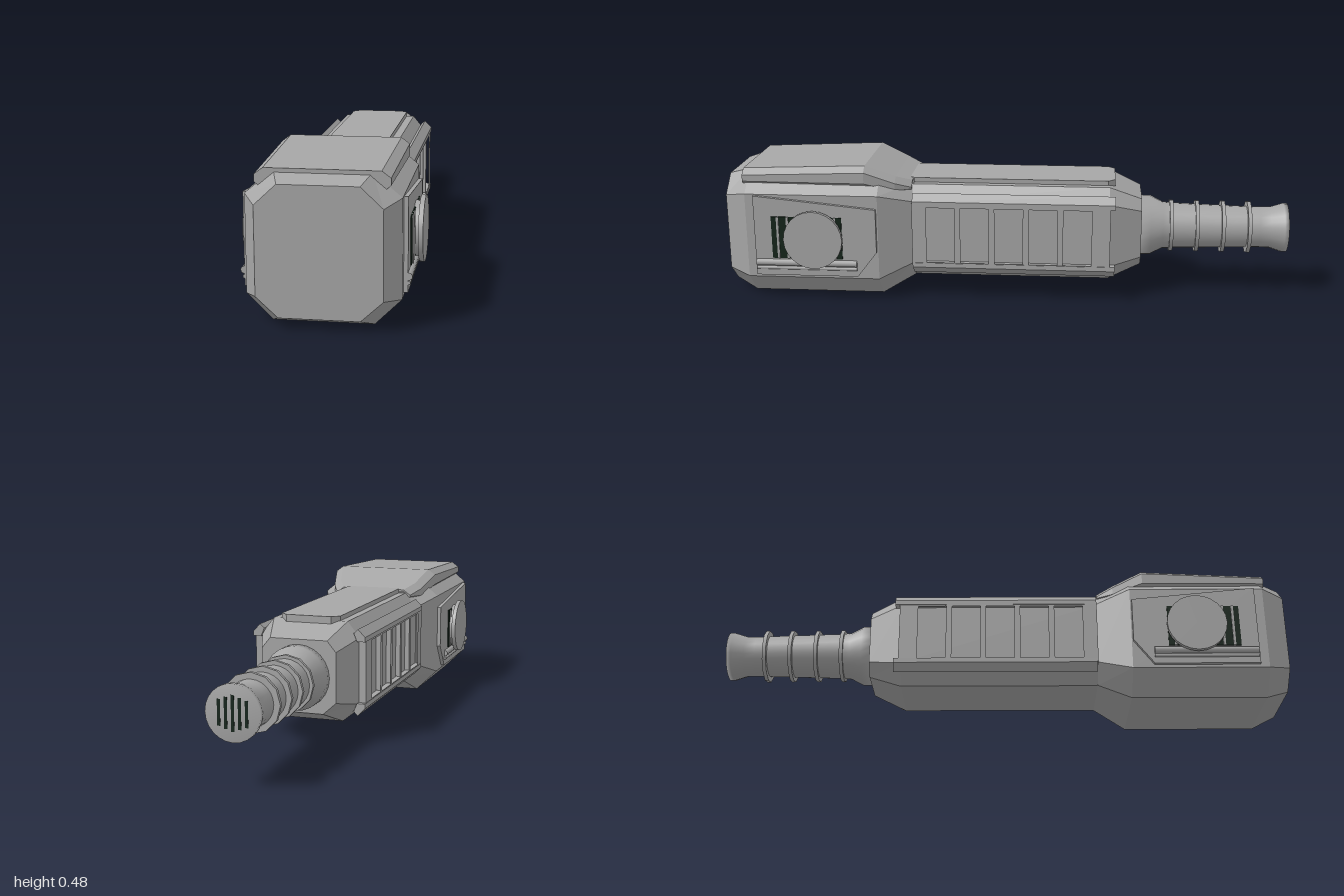
import * as THREE from 'three';

const grey = new THREE.MeshStandardMaterial({ color: 0xa6a6a6 });
grey.name = 'casing grey';
const dark = new THREE.MeshStandardMaterial({ color: 0x14241a });
dark.name = 'dark green';

function add(parent, name, geometry, material = grey, x = 0, y = 0, z = 0) {
  const m = new THREE.Mesh(geometry, material);
  m.name = name;
  m.position.set(x, y, z);
  parent.add(m);
  return m;
}

// Skin a run of counter-clockwise rings, ordered front to back, with flat faces and caps
function loft(rings) {
  const p = [];
  const tri = (a, b, c) => p.push(...a, ...b, ...c);
  const n = rings[0].length;
  for (let k = 0; k < rings.length - 1; k++) {
    const a = rings[k], b = rings[k + 1];
    for (let i = 0; i < n; i++) {
      const j = (i + 1) % n;
      tri(a[i], b[i], b[j]);
      tri(a[i], b[j], a[j]);
    }
  }
  const f = rings[0], l = rings[rings.length - 1];
  for (let i = 1; i < n - 1; i++) {
    tri(f[0], f[i], f[i + 1]);
    tri(l[0], l[i + 1], l[i]);
  }
  const g = new THREE.BufferGeometry();
  g.setAttribute('position', new THREE.Float32BufferAttribute(p, 3));
  g.computeVertexNormals();
  return g;
}

// Symmetric ring from its right half, listed bottom to top
const ring = (z, half) => [
  ...half.map(([x, y]) => [x, y, z]),
  ...half.slice().reverse().map(([x, y]) => [-x, y, z]),
];

// Octagon: side half-width, flat half-widths, and heights from bottom to top
const oct = (z, w, bottomFlat, topFlat, y0, y1, y2, y3) =>
  ring(z, [[bottomFlat, y0], [w, y1], [w, y2], [topFlat, y3]]);

const shapeOf = (pts) => new THREE.Shape(pts.map(([x, y]) => new THREE.Vector2(x, y)));

// Upright plate from a (z, y) outline, centred on x
function sidePlate(outline, depth, holes = []) {
  const s = shapeOf(outline.map(([z, y]) => [-z, y]));
  for (const h of holes) s.holes.push(shapeOf(h.map(([z, y]) => [-z, y])));
  return new THREE.ExtrudeGeometry(s, { depth, bevelEnabled: false })
    .translate(0, 0, -depth / 2).rotateY(Math.PI / 2);
}

const rect = (z0, z1, y0, y1) => [[z0, y0], [z1, y0], [z1, y1], [z0, y1]];

export function createModel() {
  const root = new THREE.Group();
  root.name = 'handheldDevice';

  // Head, with bevelled front and tapering shoulders
  add(root, 'head', loft([
    oct(1, 0.187, 0.12, 0.12, 0.033, 0.095, 0.367, 0.43),
    oct(0.92, 0.232, 0.152, 0.145, 0, 0.079, 0.383, 0.455),
    oct(0.45, 0.232, 0.152, 0.145, 0, 0.079, 0.383, 0.455),
    oct(0.335, 0.178, 0.118, 0.125, 0.062, 0.125, 0.352, 0.408),
  ]));

  // Raised cover over the head
  const cover = (z, w, top, drop) => ring(z, [
    [w - 0.017, top - drop], [w, top - drop + 0.014], [w, top - 0.02], [w - 0.027, top],
  ]);
  add(root, 'topCover', loft([
    cover(0.935, 0.2, 0.463, 0.056),
    cover(0.5, 0.207, 0.48, 0.073),
    cover(0.395, 0.18, 0.437, 0.06),
    cover(0.34, 0.15, 0.417, 0.04),
  ]));

  // Handle, narrowing to the cable end
  add(root, 'handle', loft([
    oct(0.34, 0.175, 0.115, 0.132, 0.062, 0.125, 0.352, 0.405),
    oct(-0.36, 0.175, 0.115, 0.132, 0.062, 0.125, 0.352, 0.405),
    oct(-0.475, 0.13, 0.085, 0.1, 0.11, 0.15, 0.32, 0.357),
  ]));
  const plate = shapeOf([
    [-0.08, -0.36], [0.08, -0.36], [0.105, -0.335], [0.105, 0.355],
    [0.08, 0.38], [-0.08, 0.38], [-0.105, 0.355], [-0.105, -0.335],
  ]);
  add(root, 'handleTopPlate', new THREE.ExtrudeGeometry(plate, { depth: 0.03, bevelEnabled: false })
    .rotateX(-Math.PI / 2), grey, 0, 0.391, 0);

  for (const s of [1, -1]) {
    const side = new THREE.Group();
    side.name = s > 0 ? 'leftSide' : 'rightSide';
    root.add(side);

    // Grip frame with five openings
    const holes = [];
    for (let i = 0; i < 5; i++) {
      const z = 0.284 - i * 0.121;
      holes.push(rect(z - 0.1, z, 0.134, 0.336));
    }
    add(side, 'gripFrame', sidePlate(rect(-0.365, 0.335, 0.122, 0.35), 0.026, holes), grey, s * 0.185);

    // Slanted rails along the top and bottom of the grip
    for (const [name, flip] of [['gripTopRail', 1], ['gripBottomRail', -1]]) {
      const profile = [[0.172, 0.105], [0.2, 0.105], [0.2, 0.121], [0.175, 0.147], [0.16, 0.133]]
        .map(([x, y]) => [s * x, 0.237 + flip * y]);
      add(side, name, new THREE.ExtrudeGeometry(shapeOf(profile), { depth: 0.715, bevelEnabled: false }),
        grey, 0, 0, -0.382);
    }

    // Head side panel
    add(side, 'sidePanel', sidePlate([
      [0.888, 0.09], [0.888, 0.38], [0.455, 0.337], [0.455, 0.18], [0.524, 0.09],
    ], 0.035), grey, s * 0.2275);
    for (const [y, r] of [[0.138, 0.012], [0.118, 0.006]]) {
      add(side, 'panelRod', new THREE.CylinderGeometry(r, r, 0.36, 10).rotateX(Math.PI / 2),
        grey, s * 0.246, y, 0.705);
    }

    // Vent slot and its slats
    add(side, 'ventSlot', new THREE.BoxGeometry(0.008, 0.152, 0.25), dark, s * 0.245, 0.231, 0.701);
    for (const z of [0.803, 0.768, 0.6]) {
      add(side, 'ventSlat', new THREE.BoxGeometry(0.01, 0.152, 0.008), grey, s * 0.248, 0.231, z);
    }

    // Round knob
    const disc = (r, d) => new THREE.CylinderGeometry(r, r, d, 24).rotateZ(Math.PI / 2);
    add(side, 'knobBase', disc(0.086, 0.018), grey, s * 0.254, 0.231, 0.674);
    add(side, 'knob', disc(0.104, 0.015), grey, s * 0.2695, 0.231, 0.674);
  }

  // Cable sleeve, flared at its end
  const sleeve = [
    [0, 0.46], [0.108, 0.46], [0.108, 0.51], [0.085, 0.555], [0.082, 0.6],
    [0.073, 0.9], [0.074, 0.94], [0.088, 0.985], [0.088, 1], [0, 1],
  ].map(([r, d]) => new THREE.Vector2(r, d));
  const sleeveGeo = new THREE.LatheGeometry(sleeve, 24).rotateX(-Math.PI / 2);
  add(root, 'cableSleeve', sleeveGeo, grey, 0, 0.232, 0);
  for (const z of [-0.585, -0.677, -0.77, -0.862]) {
    add(root, 'sleeveRing', new THREE.CylinderGeometry(0.095, 0.095, 0.013, 12).rotateX(Math.PI / 2),
      grey, 0, 0.232, z);
  }
  // Dark slits on the sleeve end
  for (let i = -2; i <= 2; i++) {
    add(root, 'endSlit', new THREE.BoxGeometry(0.01, 0.11 - Math.abs(i) * 0.015, 0.004), dark,
      i * 0.022, 0.232, -0.9985);
  }
  return root;
}
